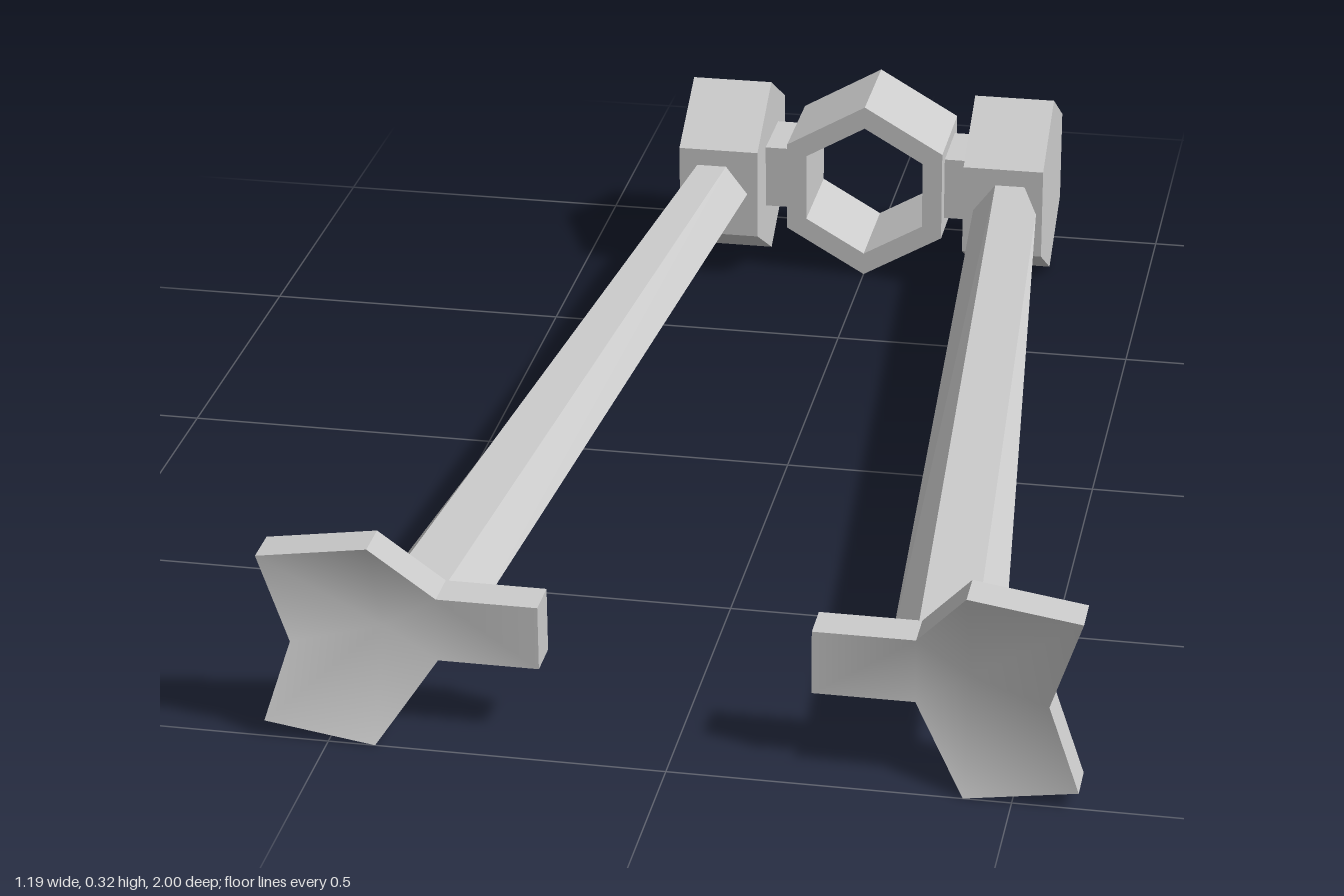
import * as THREE from 'three';

const MID = 0.16;      // height of the shared centre line
const HINGE_Z = -0.865;
const material = new THREE.MeshStandardMaterial({ color: 0xcccccc, flatShading: true });
const smooth = new THREE.MeshStandardMaterial({ color: 0xcccccc });

function mesh(name, geometry, mat = material) {
  const m = new THREE.Mesh(geometry, mat);
  m.name = name;
  return m;
}

function fromPoints(points, index) {
  const g = new THREE.BufferGeometry();
  g.setAttribute('position', new THREE.Float32BufferAttribute(points.flat(), 3));
  g.setIndex(index);
  g.computeVertexNormals();
  return g;
}

// Hexagon with a corner pointing up
function hexPoints(radius) {
  return Array.from({ length: 6 }, (_, i) => {
    const a = Math.PI / 2 + (i * Math.PI) / 3;
    return new THREE.Vector2(radius * Math.cos(a), radius * Math.sin(a));
  });
}

// Open hexagonal ring between the two arms
function centreRing() {
  const shape = new THREE.Shape(hexPoints(0.16));
  shape.holes.push(new THREE.Path(hexPoints(0.12)));
  const g = new THREE.ExtrudeGeometry(shape, { depth: 0.185, bevelEnabled: false });
  g.translate(0, MID, -0.96);
  return mesh('centreRing', g);
}

// Six-sided rod that widens sideways toward the foot at constant height
function rod() {
  const sections = [
    { z: -0.75, x: [0.2, 0.238, 0.289, 0.31] },
    { z: 0.89, x: [0.305, 0.347, 0.43, 0.47] },
  ];
  const points = sections.flatMap(({ z, x: [a, b, c, d] }) => [
    [a, MID, z], [b, MID - 0.05, z], [c, MID - 0.05, z],
    [d, MID, z], [c, MID + 0.05, z], [b, MID + 0.05, z],
  ]);
  const index = [];
  for (let i = 0; i < 6; i++) {
    const j = (i + 1) % 6;
    index.push(i, j, 6 + j, i, 6 + j, 6 + i);
  }
  for (let i = 1; i < 5; i++) index.push(0, i + 1, i, 6, 6 + i, 7 + i);
  return mesh('rod', fromPoints(points, index));
}

// Notched, flared foot plate with a narrow tab on its inner side
function foot() {
  const thickness = 0.06;
  const front = [
    [0.2, 0.11, 0.93], [0.35, 0.11, 0.93], [0.43, 0, 1], [0.595, 0.025, 1], [0.55, MID, 1],
    [0.595, 0.295, 1], [0.43, 0.32, 1], [0.35, 0.21, 0.93], [0.2, 0.21, 0.93],
    [0.43, MID, 0.93],
  ];
  const back = front.map(([x, y, z]) => [x, y, z - thickness]);
  const faces = [0, 1, 7, 0, 7, 8, 1, 9, 7];
  for (let i = 1; i < 7; i++) faces.push(i, i + 1, 9);
  faces.splice(faces.length, 0);

  const rim = [];
  for (let i = 0; i < 9; i++) {
    const j = (i + 1) % 9;
    rim.push(i, 10 + i, 10 + j, i, 10 + j, j);
  }
  const group = new THREE.Group();
  group.name = 'foot';
  group.add(
    mesh('footFront', fromPoints(front, faces), smooth),
    mesh('footBack', fromPoints(back, [...faces].reverse()), smooth),
    mesh('footRim', fromPoints([...front, ...back], rim)),
  );
  return group;
}

// One arm: hinge barrel, link to the ring, rod and foot
function arm(name, side) {
  const group = new THREE.Group();
  group.name = name;

  const barrel = new THREE.CylinderGeometry(0.16, 0.16, 0.14, 6);
  barrel.rotateY(Math.PI / 6).rotateZ(Math.PI / 2).translate(0.253, MID, HINGE_Z);

  const link = new THREE.BoxGeometry(0.065, 0.112, 0.125);
  link.translate(0.165, MID + 0.002, -0.87);

  group.add(mesh('hingeBarrel', barrel), mesh('hingeLink', link), rod(), foot());
  group.scale.x = side;
  return group;
}

export function createModel() {
  const model = new THREE.Group();
  model.name = 'hingedTool';
  model.add(centreRing(), arm('leftArm', 1), arm('rightArm', -1));
  return model;
}
